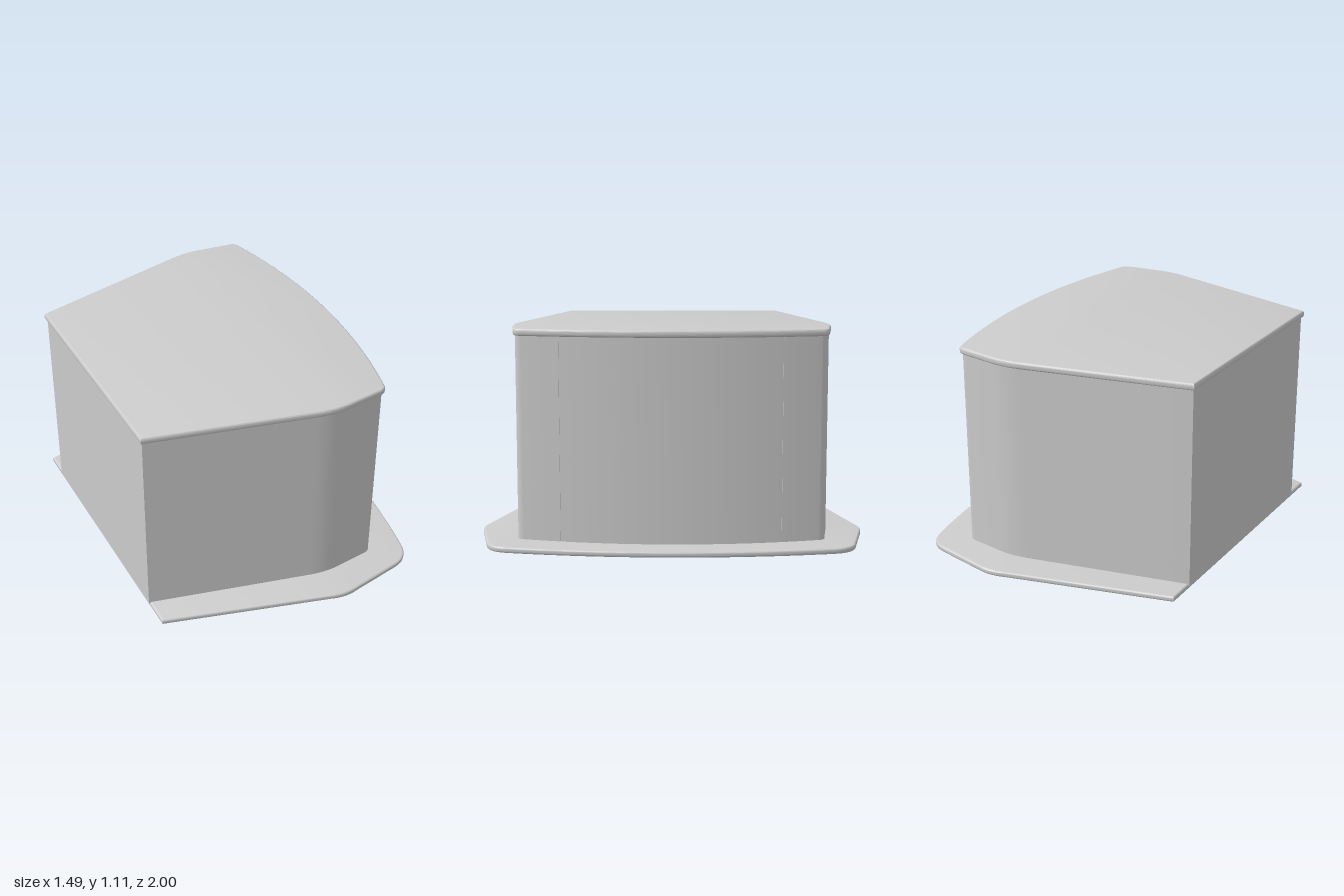
import * as THREE from 'three';
import { toCreasedNormals } from 'three/addons/utils/BufferGeometryUtils.js';

const material = new THREE.MeshStandardMaterial({ color: 0xcccccc });

// Plan outline (x, z), symmetric in z. Half profile: straight back, flared side,
// softened shoulder, rounded corner, then a bowed end at +x.
function outline({ back, shoulder, corner, bow, seam }) {
  const half = new THREE.Path();
  half.moveTo(...back);
  half.lineTo(...shoulder[0]);
  half.quadraticCurveTo(...shoulder[1], ...shoulder[2]);
  half.lineTo(...corner[0]);
  half.quadraticCurveTo(...corner[1], ...corner[2]);
  const pts = half.getPoints(8);

  // Bowed end, with an optional narrow groove at the door seam
  const [x0, z0] = corner[2];
  const bowX = (z) => bow - (bow - x0) * (z / z0) ** 2;
  const steps = 14;
  let cut = false;
  for (let i = 1; i <= steps; i++) {
    const z = z0 * (1 - i / steps);
    if (seam && !cut && z < seam - 0.003) {
      const a = seam + 0.002, b = seam - 0.002;
      pts.push(new THREE.Vector2(bowX(a), a), new THREE.Vector2(bowX(a) - 0.012, a),
        new THREE.Vector2(bowX(b) - 0.012, b), new THREE.Vector2(bowX(b), b));
      cut = true;
    }
    pts.push(new THREE.Vector2(bowX(z), z));
  }
  const mirrored = pts.slice(0, -1).reverse().map((p) => new THREE.Vector2(p.x, -p.y));
  return new THREE.Shape([...pts, ...mirrored]);
}

// Upright slab between two heights, with an optional rounded rim
function slab(name, shape, y0, y1, bevel = 0) {
  const extruded = new THREE.ExtrudeGeometry(shape, {
    depth: y1 - y0 - 2 * bevel,
    bevelEnabled: bevel > 0,
    bevelSize: bevel,
    bevelThickness: bevel,
    bevelOffset: -bevel,
    bevelSegments: 4,
  });
  extruded.rotateX(Math.PI / 2);
  extruded.translate(0, y1 - bevel, 0);
  const mesh = new THREE.Mesh(toCreasedNormals(extruded, 0.55), material);
  mesh.name = name;
  return mesh;
}

export function createModel() {
  const group = new THREE.Group();
  group.name = 'bowFrontCabinet';

  const base = outline({
    back: [-0.73, 0.74],
    shoulder: [[0.12, 0.982], [0.2, 1.012], [0.28, 0.99]],
    corner: [[0.55, 0.937], [0.64, 0.92], [0.662, 0.82]],
    bow: 0.745,
  });
  const body = outline({
    back: [-0.735, 0.592],
    shoulder: [[0.1, 0.798], [0.2, 0.823], [0.3, 0.806]],
    corner: [[0.45, 0.787], [0.48, 0.783], [0.487, 0.755]],
    bow: 0.591,
    seam: 0.56,
  });
  const top = outline({
    back: [-0.745, 0.605],
    shoulder: [[0.1, 0.81], [0.2, 0.835], [0.3, 0.817]],
    corner: [[0.46, 0.797], [0.49, 0.793], [0.499, 0.765]],
    bow: 0.603,
  });

  group.add(slab('basePlate', base, 0, 0.03, 0.01));
  group.add(slab('cabinetBody', body, 0.02, 1.085));
  group.add(slab('topPanel', top, 1.075, 1.112, 0.012));
  return group;
}
